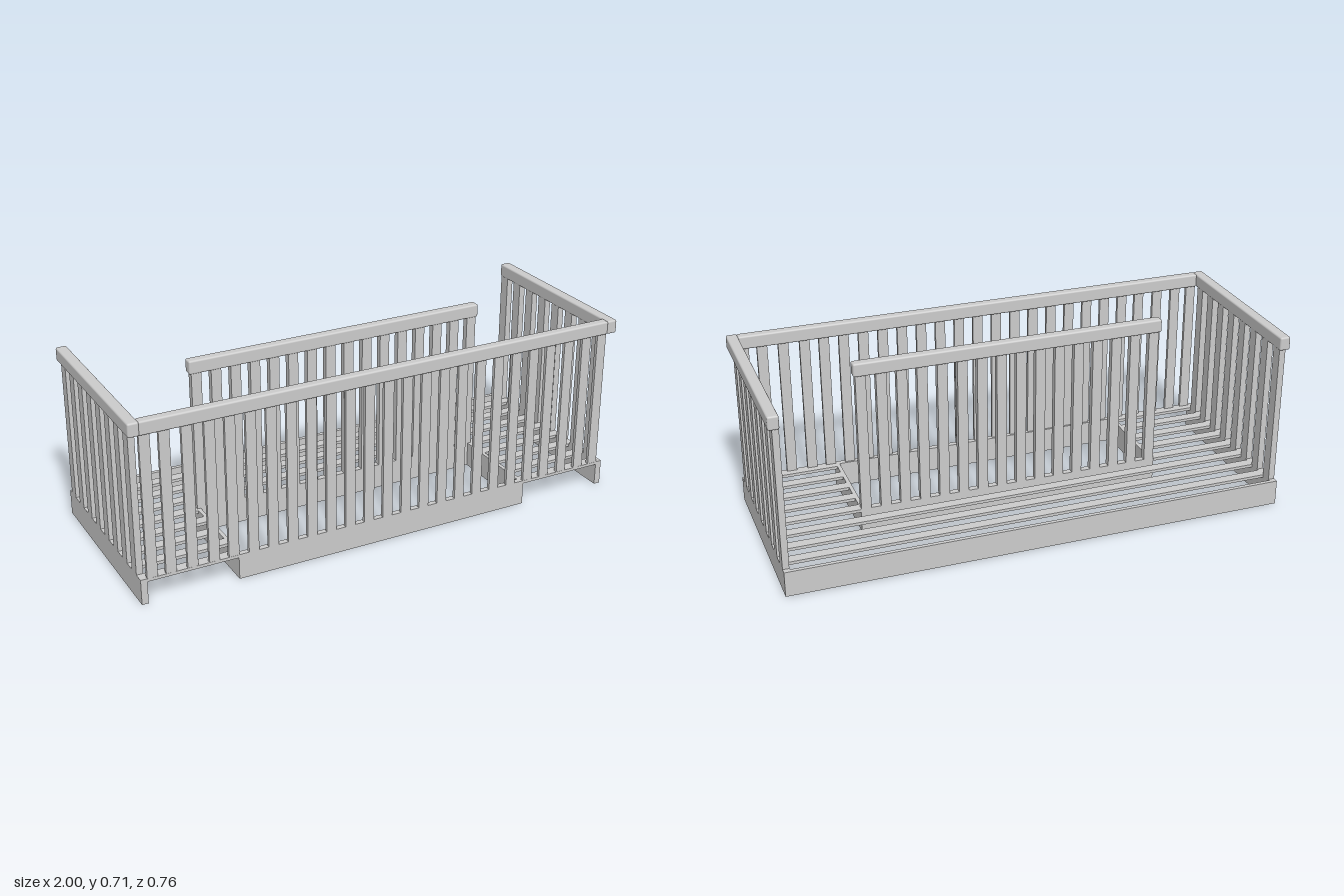
import * as THREE from 'three';
import { RoundedBoxGeometry } from 'three/addons/geometries/RoundedBoxGeometry.js';

const material = new THREE.MeshStandardMaterial({ color: 0xcccccc });
const DECK = 0.1, RAIL_Y0 = 0.655, RAIL_Y1 = 0.708;

// Box given by its limits on each axis; a radius rounds its edges
function slab(parent, name, [x0, x1], [y0, y1], [z0, z1], radius = 0) {
  const size = [x1 - x0, y1 - y0, z1 - z0];
  const geometry = radius
    ? new RoundedBoxGeometry(...size, 3, radius)
    : new THREE.BoxGeometry(...size);
  const mesh = new THREE.Mesh(geometry, material);
  mesh.name = name;
  mesh.position.set((x0 + x1) / 2, (y0 + y1) / 2, (z0 + z1) / 2);
  parent.add(mesh);
}

function section(parent, name) {
  const group = new THREE.Group();
  group.name = name;
  parent.add(group);
  return group;
}

// Limits mirrored to the chosen side
const mirror = (s, a, b) => (s > 0 ? [a, b] : [-b, -a]);

export function createModel() {
  const model = new THREE.Group();
  model.name = 'balcony';
  const boardY = [0, DECK], railY = [RAIL_Y0, RAIL_Y1], postY = [DECK, RAIL_Y0 + 0.005];

  // Outer frame boards
  const frame = section(model, 'frame');
  slab(frame, 'backBoard', [-0.985, 0.985], boardY, [-0.382, -0.366]);
  for (const s of [-1, 1]) {
    slab(frame, 'sideBoard', mirror(s, 0.96, 0.985), boardY, [-0.366, 0.372]);
  }

  // Frame around the stair opening
  const opening = section(model, 'openingFrame');
  slab(opening, 'frontBoard', [-0.61, 0.61], boardY, [0.35, 0.372]);
  slab(opening, 'innerBoard', [-0.61, 0.61], boardY, [-0.037, -0.012]);
  for (const s of [-1, 1]) {
    slab(opening, 'returnBoard', mirror(s, 0.595, 0.61), boardY, [-0.012, 0.35]);
  }

  // Floor slats: full length at the back, short beside the opening
  const floor = section(model, 'floor');
  const slatY = [0.088, DECK];
  for (let i = 0; i < 8; i++) {
    const z = -0.296 + i * 0.0925;
    const span = [z - 0.021, z + 0.021];
    if (i < 3) slab(floor, 'longSlat', [-0.96, 0.96], slatY, span);
    else for (const s of [-1, 1]) {
      slab(floor, 'shortSlat', mirror(s, 0.61, 0.96), slatY, span);
    }
  }

  // Front railing: even middle run with wider spaced ends
  const front = section(model, 'frontRailing');
  slab(front, 'frontRail', [-0.96, 0.96], railY, [0.344, 0.382], 0.007);
  const frontX = [];
  for (let k = -8; k <= 8; k++) frontX.push(k * 0.0785);
  for (const x of [0.704, 0.787, 0.869, 0.94]) frontX.push(x, -x);
  for (const x of frontX) {
    slab(front, 'frontBaluster', [x - 0.02, x + 0.02], postY, [0.358, 0.372]);
  }

  // Side railings
  for (const s of [-1, 1]) {
    const side = section(model, s > 0 ? 'leftRailing' : 'rightRailing');
    slab(side, 'sideRail', mirror(s, 0.958, 1), railY, [-0.366, 0.382], 0.007);
    for (let i = 0; i < 8; i++) {
      const z = -0.336 + i * 0.0921;
      slab(side, 'sideBaluster', mirror(s, 0.96, 0.985), postY, [z - 0.023, z + 0.023]);
    }
  }

  // Inner railing behind the opening, staggered against the front one
  const inner = section(model, 'innerRailing');
  slab(inner, 'innerRail', [-0.617, 0.617], railY, [-0.047, -0.008], 0.007);
  for (let k = -7.5; k <= 7.5; k++) {
    const x = k * 0.0785;
    slab(inner, 'innerBaluster', [x - 0.02, x + 0.02], postY, [-0.037, -0.012]);
  }

  return model;
}
